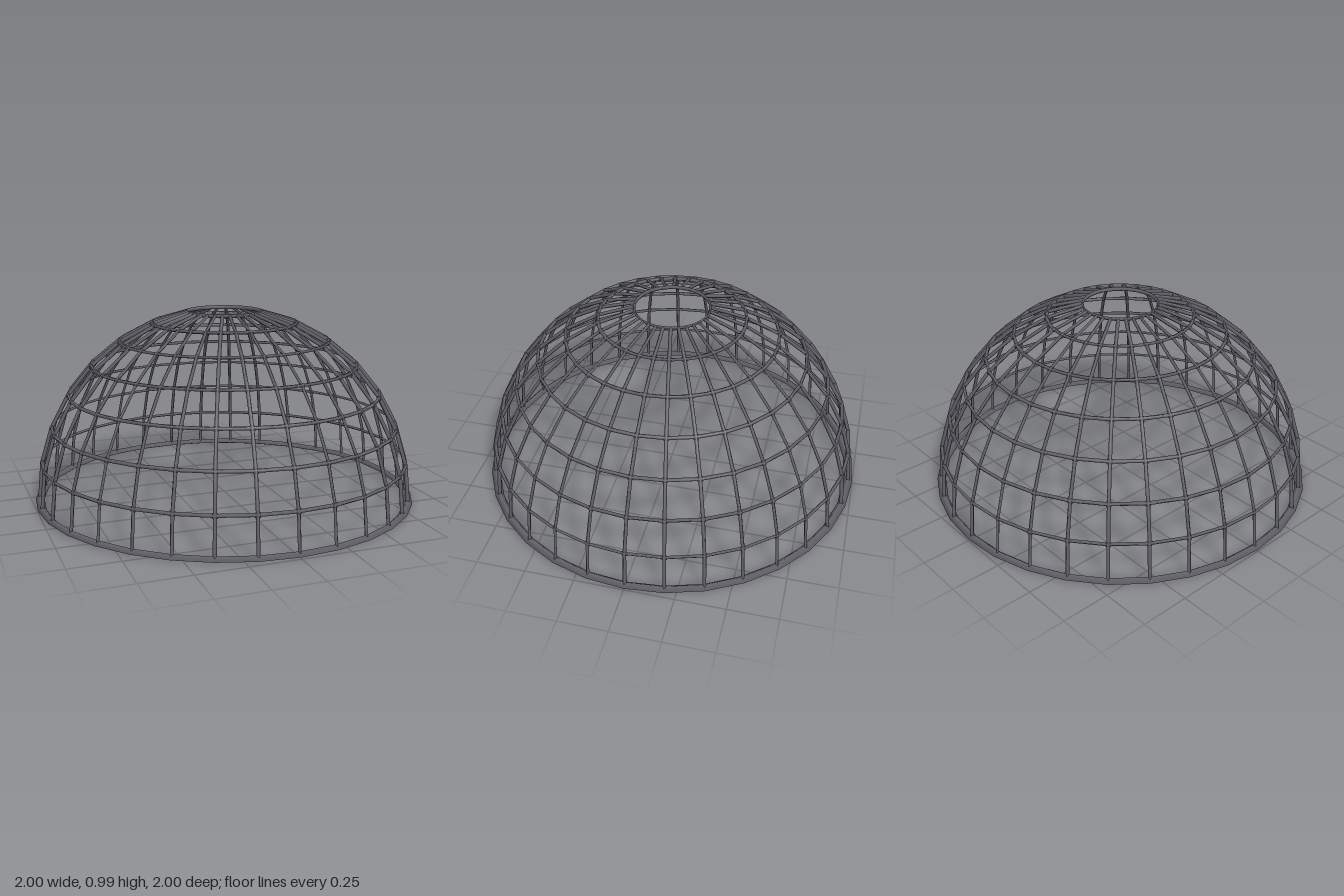
import * as THREE from 'three';
import { mergeGeometries, mergeVertices } from 'three/addons/utils/BufferGeometryUtils.js';

const SIDES = 32, STEP = Math.PI / 16;   // ribs around, angle between rings
const R = 0.977, BASE = 0.018;           // dome radius and height of its centre
const DEPTH = 0.01, WIDTH = 0.009;       // half sizes of the diamond-section bars

// welded corners with smooth normals, so the bars read as rounded
function smooth(geometry) {
  geometry.deleteAttribute('uv');
  geometry.deleteAttribute('normal');
  const g = mergeVertices(geometry, 1e-5);
  g.computeVertexNormals();
  return g;
}

// closed profile of [radius, height] points, counterclockwise
function hoop(points) {
  const profile = [...points, points[0]].map(([x, y]) => new THREE.Vector2(x, y));
  return smooth(new THREE.LatheGeometry(profile, SIDES));
}

// diamond profile standing on the sphere at a latitude
function diamond(lat, depth, width) {
  const c = Math.cos(lat), s = Math.sin(lat);
  const at = (n, t) => [(R + n) * c - t * s, BASE + (R + n) * s + t * c];
  return [at(depth, 0), at(0, width), at(-depth, 0), at(0, -width)];
}

// one rib from base to top opening, diamond section swept over the latitudes
function ribGeometry() {
  const pos = [], idx = [];
  for (let k = 0; k <= 7; k++) {
    const c = Math.cos(k * STEP), s = Math.sin(k * STEP);
    for (const [n, z] of [[DEPTH, 0], [0, -WIDTH], [-DEPTH, 0], [0, WIDTH]])
      pos.push((R + n) * c, BASE + (R + n) * s, z);
    if (k === 7) break;
    for (let j = 0; j < 4; j++) {
      const a = k * 4 + j, b = k * 4 + (j + 1) % 4;
      idx.push(a, b, b + 4, a, b + 4, a + 4);
    }
  }
  const g = new THREE.BufferGeometry();
  g.setAttribute('position', new THREE.Float32BufferAttribute(pos, 3));
  g.setIndex(idx);
  return smooth(g);
}

// small flattened joints where one rib crosses the rings
function jointGeometry() {
  const parts = [];
  for (let k = 1; k <= 6; k++) {
    const g = smooth(new THREE.OctahedronGeometry(1));
    g.rotateX(Math.PI / 4);
    g.scale(DEPTH + 0.002, 0.018, 0.018);
    g.translate(R, 0, 0);
    g.rotateZ(k * STEP);
    g.translate(0, BASE, 0);
    parts.push(g);
  }
  return mergeGeometries(parts);
}

export function createModel() {
  const model = new THREE.Group();
  model.name = 'latticeDome';
  const greyMetal = new THREE.MeshStandardMaterial({ color: 0x66646c });
  greyMetal.name = 'greyMetal';
  const add = (geometry, name) => {
    const mesh = new THREE.Mesh(geometry, greyMetal);
    mesh.name = name;
    model.add(mesh);
    return mesh;
  };

  // wider foot ring
  add(hoop([[1.0, 0.008], [0.977, 0.028], [0.955, 0.008], [0.977, 0]]), 'baseRing');

  // horizontal rings
  for (let k = 1; k <= 6; k++) add(hoop(diamond(k * STEP, DEPTH, WIDTH)), 'ring' + k);

  // slim ring around the opening
  add(hoop(diamond(7 * STEP, DEPTH, 0.006)), 'topRing');

  // ribs and their joints
  const rib = ribGeometry(), joints = jointGeometry();
  for (let i = 0; i < SIDES; i++) {
    add(rib, 'rib').rotation.y = i * STEP;
    add(joints, 'ribJoints').rotation.y = i * STEP;
  }
  return model;
}
